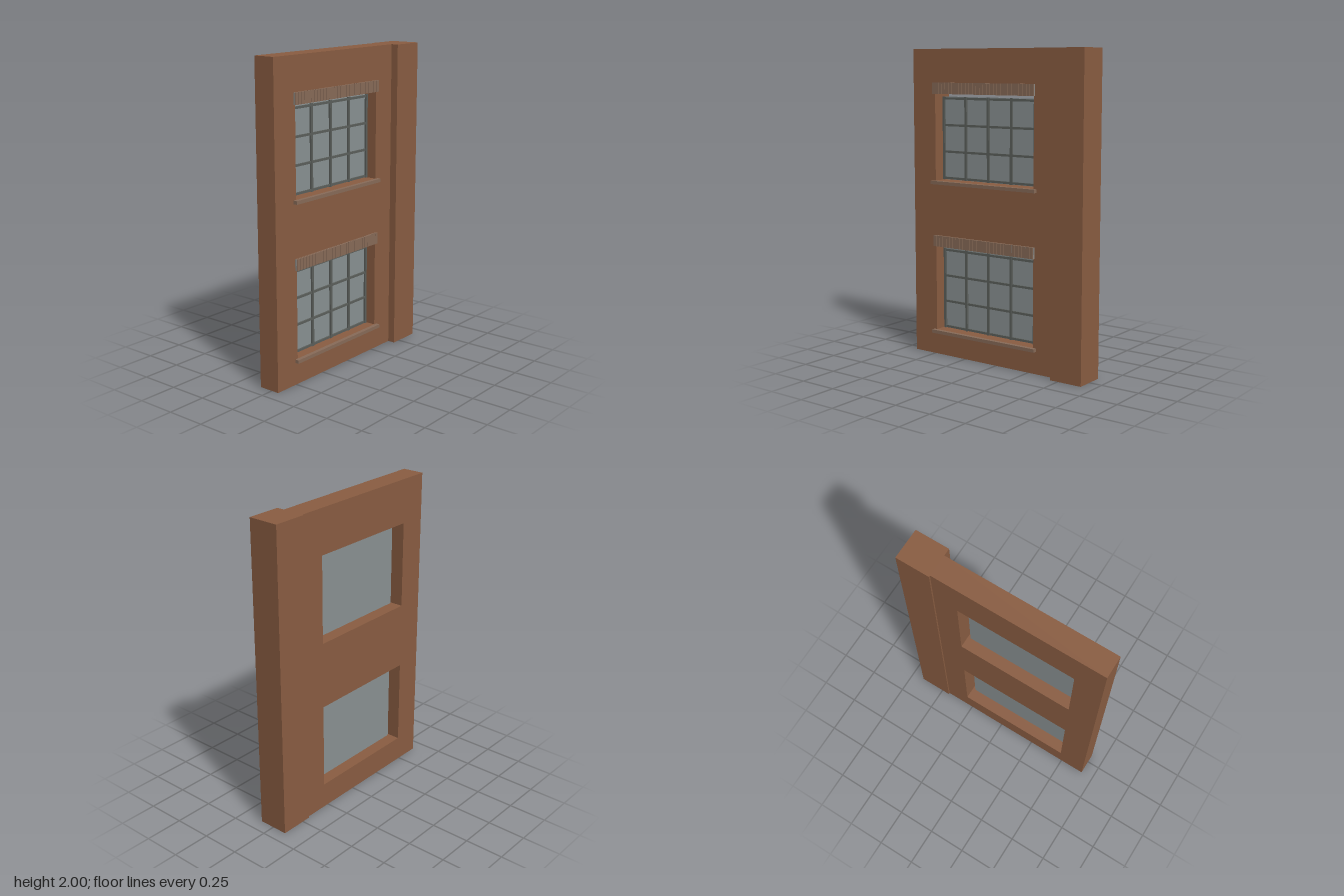
import * as THREE from 'three';

const material = (name, color) => {
  const m = new THREE.MeshStandardMaterial({ color });
  m.name = name;
  return m;
};

// Box given by its minimum and maximum on each axis
function block(name, mat, x0, x1, y0, y1, z0, z1) {
  const mesh = new THREE.Mesh(new THREE.BoxGeometry(x1 - x0, y1 - y0, z1 - z0), mat);
  mesh.position.set((x0 + x1) / 2, (y0 + y1) / 2, (z0 + z1) / 2);
  mesh.name = name;
  return mesh;
}

function rectangle(PathType, x0, x1, y0, y1) {
  const p = new PathType();
  p.moveTo(x0, y0);
  p.lineTo(x1, y0);
  p.lineTo(x1, y1);
  p.lineTo(x0, y1);
  p.closePath();
  return p;
}

export function createModel() {
  const brick = material('brick wall', 0x8a5d42);
  const trim = material('weathered brick trim', 0x886b58);
  const mortar = material('grey mortar', 0x8f8a84);
  const glass = material('window glass', 0x8a9293);
  const bars = material('dark window bars', 0x5c605c);

  const model = new THREE.Group();
  model.name = 'wallSection';
  const back = -0.09, face = 0.052;
  const left = -0.485, right = 0.285, openingHeight = 0.56;
  const sillLevels = [0.165, 1.155];

  // Wall panel with two window openings
  const outline = rectangle(THREE.Shape, -0.665, 0.445, 0, 2);
  for (const y of sillLevels) {
    outline.holes.push(rectangle(THREE.Path, left, right, y, y + openingHeight));
  }
  const wall = new THREE.Mesh(
    new THREE.ExtrudeGeometry(outline, { depth: face - back, bevelEnabled: false }), brick);
  wall.position.z = back;
  wall.name = 'wall';
  model.add(wall);

  // Full-height pier beside the panel
  model.add(block('pier', brick, 0.445, 0.665, 0, 2, -0.1, 0.1));

  // Window, measured upward from its sill level
  function makeWindow() {
    const group = new THREE.Group();
    group.name = 'window';
    const x0 = -0.465, x1 = 0.265, y0 = 0.006, y1 = 0.542, w = 0.016;
    group.add(block('glass', glass, x0, x1, y0, y1, -0.016, -0.01));
    for (let i = 0; i < 5; i++) {
      const x = x0 + (x1 - x0 - w) * i / 4;
      group.add(block('verticalBar', bars, x, x + w, y0, y1, -0.01, 0.002));
    }
    for (let i = 0; i < 4; i++) {
      const y = y0 + 0.003 + (y1 - y0 - w - 0.006) * i / 3;
      group.add(block('horizontalBar', bars, x0, x1, y, y + w * 0.9, -0.01, 0));
    }

    // Projecting sill
    group.add(block('sill', trim, -0.507, 0.307, -0.022, 0, face, 0.078));

    // Lintel of upright bricks bedded in mortar
    const count = 29, start = -0.499, pitch = 0.792 / count;
    const bottom = openingHeight, top = openingHeight + 0.072;
    group.add(block('lintelMortar', mortar, start, start + 0.792, bottom, top - 0.001, face, 0.064));
    for (let i = 0; i < count; i++) {
      const x = start + i * pitch;
      group.add(block('lintelBrick', trim, x + 0.0015, x + pitch - 0.0015, bottom, top, face, 0.068));
    }
    return group;
  }

  sillLevels.forEach((y, i) => {
    const win = makeWindow();
    win.name = i ? 'upperWindow' : 'lowerWindow';
    win.position.y = y;
    model.add(win);
  });
  return model;
}
